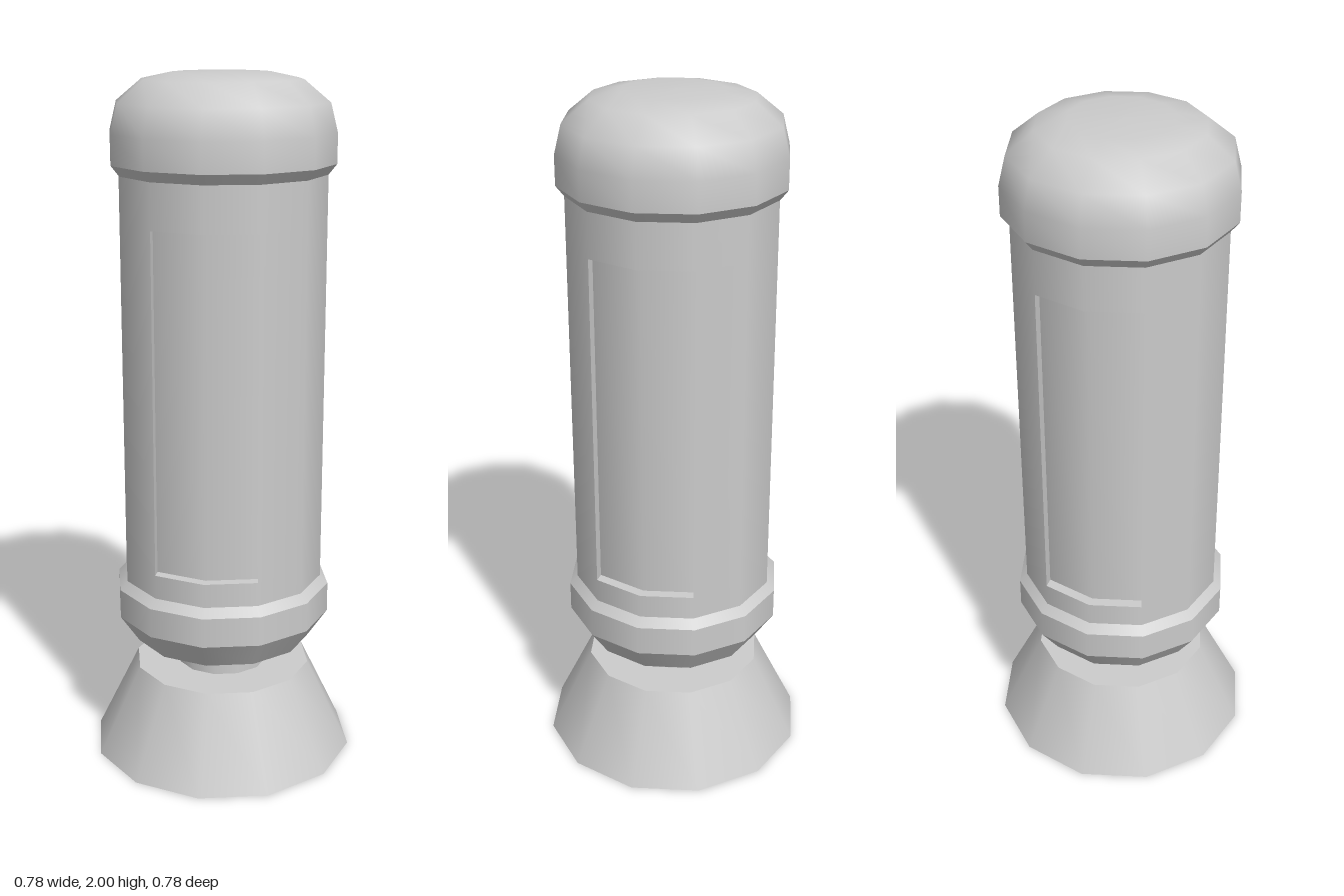
import * as THREE from 'three';

const SIDES = 12;
const BODY_R = 0.295;
const PANEL_LOW = 0.62;
const PANEL_HIGH = 1.6;
const DEPTH = 0.03;

const grey = new THREE.MeshStandardMaterial({ color: 0xcccccc, side: THREE.DoubleSide });
grey.name = 'light grey';

const toVectors = (points) => points.map(([r, y]) => new THREE.Vector2(r, y));

// Revolve a profile, listed from bottom to top, around the y axis
function revolve(name, points, segments = SIDES, start = 0, length = Math.PI * 2) {
  const mesh = new THREE.Mesh(new THREE.LatheGeometry(toVectors(points), segments, start, length), grey);
  mesh.name = name;
  return mesh;
}

// One lathe per straight run, so the rings between them stay sharp
function creased(name, points) {
  const group = new THREE.Group();
  group.name = name;
  for (let i = 0; i < points.length - 1; i++) {
    group.add(revolve(name + 'Band' + (i + 1), [points[i], points[i + 1]]));
  }
  return group;
}

// Walls that join the rim of a panel opening to its sunken floor
function recessWalls(centre) {
  const angles = [-1, 0, 1].map((k) => centre + (k * Math.PI) / 6);
  const ring = [
    ...angles.map((a) => [a, PANEL_LOW]),
    ...angles.slice().reverse().map((a) => [a, PANEL_HIGH]),
  ];
  const outer = ring.map(([a, y]) => [BODY_R * Math.sin(a), y, BODY_R * Math.cos(a)]);
  const inner = outer.map(([x, y, z]) => [x - DEPTH * Math.sin(centre), y, z - DEPTH * Math.cos(centre)]);
  const positions = [];
  outer.forEach((a, i) => {
    const j = (i + 1) % outer.length;
    const [b, c, d] = [outer[j], inner[j], inner[i]];
    positions.push(...a, ...b, ...c, ...a, ...c, ...d);
  });
  const geometry = new THREE.BufferGeometry();
  geometry.setAttribute('position', new THREE.Float32BufferAttribute(positions, 3));
  geometry.computeVertexNormals();
  const mesh = new THREE.Mesh(geometry, grey);
  mesh.name = 'panelRim';
  return mesh;
}

export function createModel() {
  const model = new THREE.Group();
  model.name = 'bollard';

  // Hollow flared foot, open at the bottom, and the thin stem
  model.add(creased('foot', [[0.39, 0], [0.262, 0.265], [0.135, 0.265]]));
  model.add(revolve('stem', [[0.135, 0.265], [0.135, 0.355]]));

  // Lower collar and the plain band below the panels
  model.add(creased('collar', [
    [0, 0.355], [0.262, 0.355], [0.318, 0.438], [0.318, 0.525], [BODY_R, 0.55],
  ]));
  model.add(revolve('lowerBand', [[BODY_R, 0.55], [BODY_R, PANEL_LOW]]));

  // Shaft: three full-depth walls alternating with three sunken panels
  for (let i = 0; i < 3; i++) {
    const wall = (i * Math.PI * 2) / 3;
    const panel = wall + Math.PI / 3;
    const run = [[BODY_R, PANEL_LOW], [BODY_R, PANEL_HIGH]];
    model.add(revolve('shaftWall', run, 2, wall - Math.PI / 6, Math.PI / 3));
    const floor = revolve('panelFloor', run, 2, panel - Math.PI / 6, Math.PI / 3);
    floor.position.set(-DEPTH * Math.sin(panel), 0, -DEPTH * Math.cos(panel));
    model.add(floor, recessWalls(panel));
  }
  model.add(revolve('upperBand', [[BODY_R, PANEL_HIGH], [BODY_R, 1.728]]));

  // Rounded cap with a bevelled underside
  model.add(revolve('capBevel', [[BODY_R, 1.728], [0.318, 1.757]]));
  model.add(revolve('capDome', [
    [0.318, 1.757], [0.318, 1.84], [0.298, 1.92], [0.225, 1.98], [0.14, 1.998], [0, 2],
  ]));
  return model;
}
